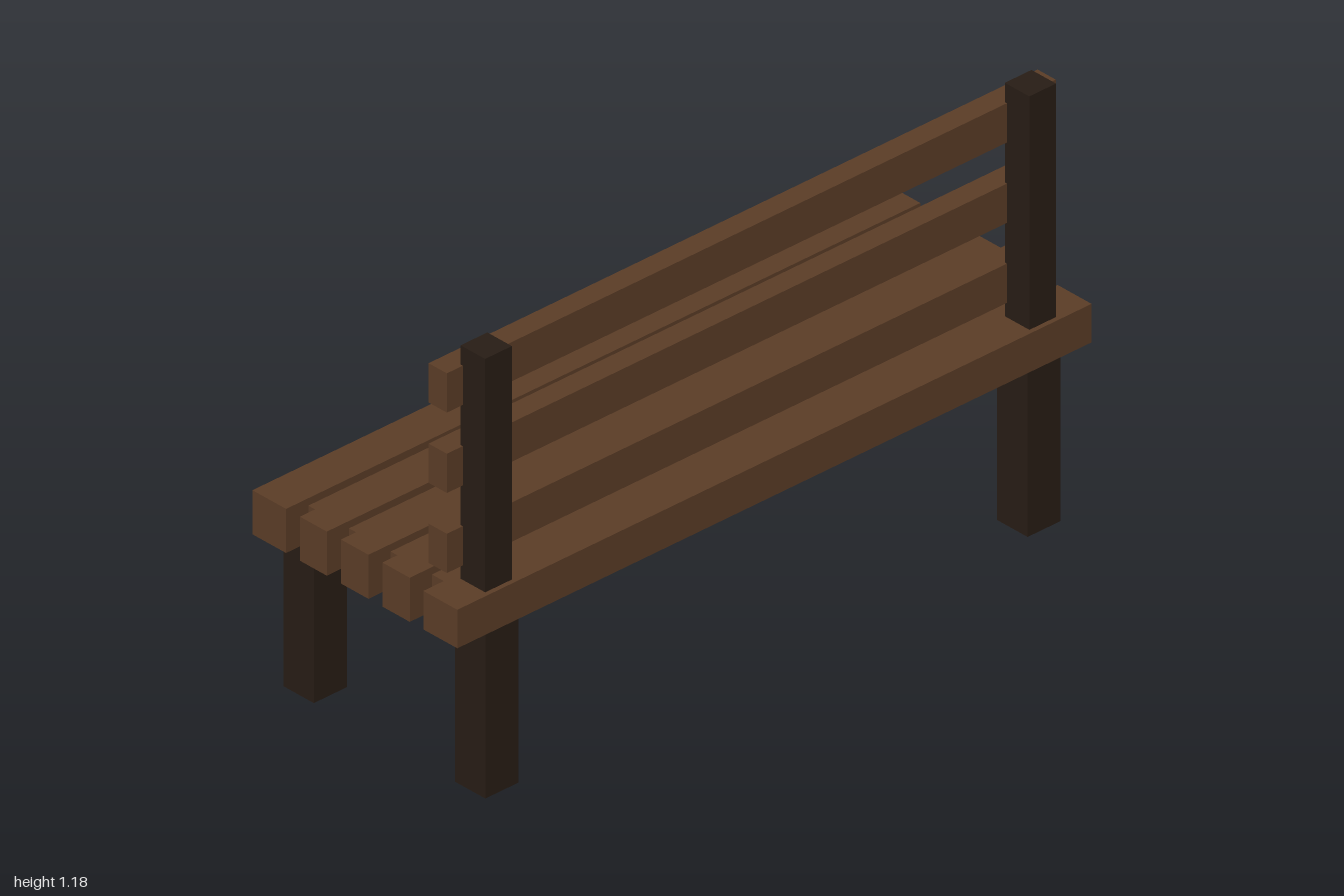
import * as THREE from 'three';

const wood = new THREE.MeshStandardMaterial({ color: 0x5c3d27, flatShading: true });
const darkWood = new THREE.MeshStandardMaterial({ color: 0x281d15, flatShading: true });
const metal = new THREE.MeshStandardMaterial({ color: 0x44474a, flatShading: true });

export function createModel() {
  const bench = new THREE.Group();
  bench.name = 'bench';

  // Box given by its extents along each axis
  function beam(name, material, [x0, x1], [y0, y1], [z0, z1]) {
    const mesh = new THREE.Mesh(new THREE.BoxGeometry(x1 - x0, y1 - y0, z1 - z0), material);
    mesh.position.set((x0 + x1) / 2, (y0 + y1) / 2, (z0 + z1) / 2);
    mesh.name = name;
    bench.add(mesh);
  }

  // Seat: long slats, the rear one slightly lower
  const slats = [[-0.348, -0.234], [-0.187, -0.096], [-0.048, 0.045], [0.092, 0.185], [0.231, 0.346]];
  slats.forEach((x, i) => beam('seatSlat', wood, x, [0.446, i === 4 ? 0.55 : 0.565], [-1, 1]));

  // Shorter, recessed strips filling the gaps
  for (let i = 0; i < slats.length - 1; i++) {
    beam('seatSpacer', wood, [slats[i][1], slats[i + 1][0]], [0.45, 0.545], [-0.93, 0.93]);
  }

  // Legs and backrest posts at both ends
  for (const side of [-1, 1]) {
    const z = side * 0.855;
    beam('frontLeg', darkWood, [-0.343, -0.24], [0, 0.446], [z - 0.052, z + 0.052]);
    beam('rearLeg', darkWood, [0.238, 0.341], [0, 0.446], [z - 0.052, z + 0.052]);
    beam('backPost', darkWood, [0.25, 0.333], [0.54, 1.18], [side * 0.858 - 0.042, side * 0.858 + 0.042]);
  }

  // Backrest rails, each bolted to the posts
  const boltGeometry = new THREE.CylinderGeometry(0.017, 0.028, 0.014, 8).rotateZ(Math.PI / 2);
  for (const y of [0.642, 0.858, 1.075]) {
    beam('backRail', wood, [0.195, 0.257], [y - 0.053, y + 0.053], [-0.97, 0.95]);
    for (const z of [-0.865, 0.86]) {
      const bolt = new THREE.Mesh(boltGeometry, metal);
      bolt.name = 'bolt';
      bolt.position.set(0.19, y - 0.002, z);
      bench.add(bolt);
    }
  }
  return bench;
}
